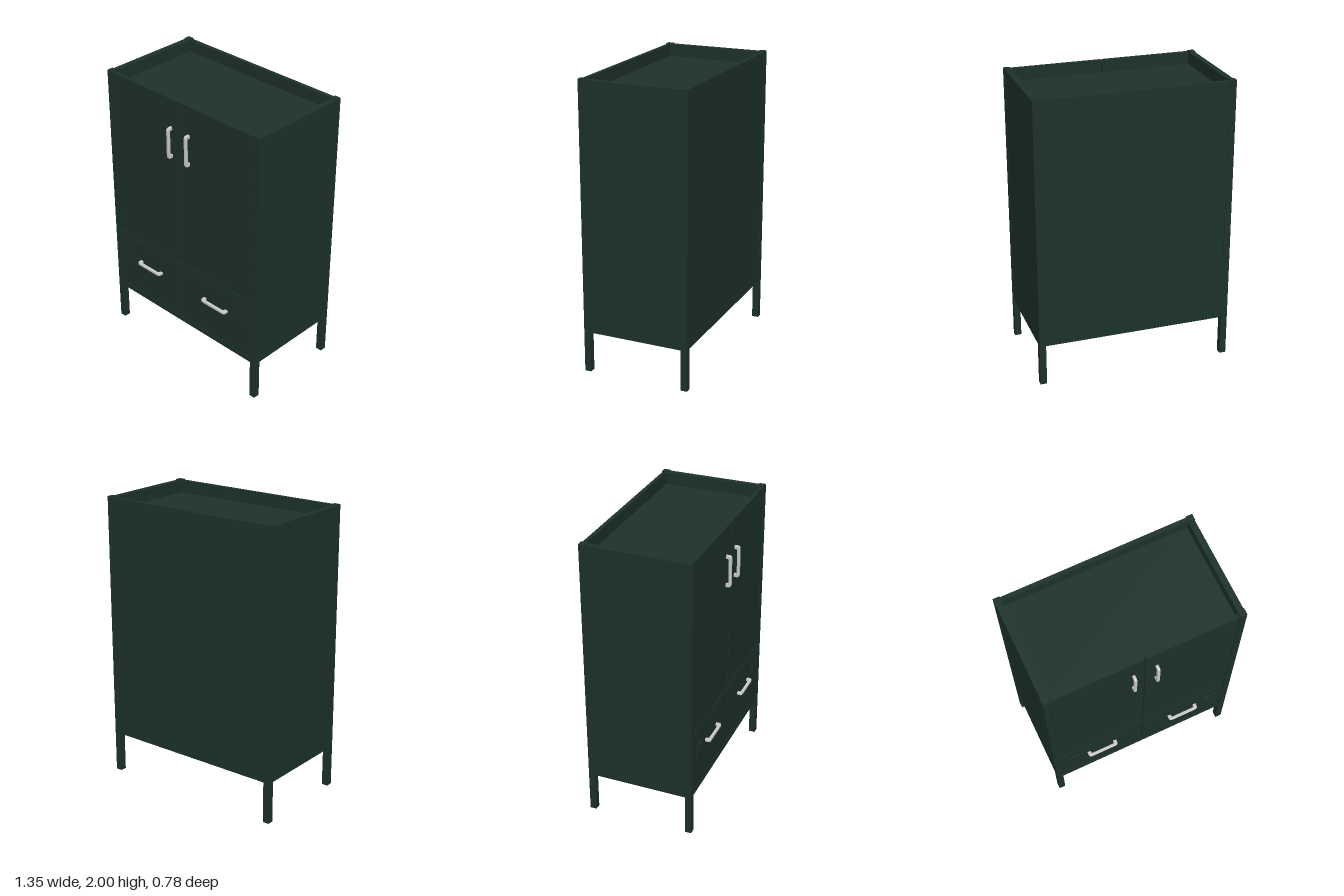
import * as THREE from 'three';

const paint = new THREE.MeshStandardMaterial({ color: 0x1d322b });
const metal = new THREE.MeshStandardMaterial({ color: 0xcccccc });

// Box given by its limits on each axis
function block(name, [x0, x1], [y0, y1], [z0, z1]) {
  const mesh = new THREE.Mesh(new THREE.BoxGeometry(x1 - x0, y1 - y0, z1 - z0), paint);
  mesh.name = name;
  mesh.position.set((x0 + x1) / 2, (y0 + y1) / 2, (z0 + z1) / 2);
  return mesh;
}

// U-shaped bar pull, lying along x and standing out along +z
function pull(name, length) {
  const h = length / 2, d = 0.04, r = 0.022, leg = 0.025, bar = 0.02, w = 0.02;
  const s = new THREE.Shape();
  s.moveTo(-h, 0);
  s.lineTo(-h, d - r);
  s.quadraticCurveTo(-h, d, -h + r, d);
  s.lineTo(h - r, d);
  s.quadraticCurveTo(h, d, h, d - r);
  s.lineTo(h, 0);
  s.lineTo(h - leg, 0);
  s.lineTo(h - leg, d - bar - 0.008);
  s.quadraticCurveTo(h - leg, d - bar, h - leg - 0.008, d - bar);
  s.lineTo(-h + leg + 0.008, d - bar);
  s.quadraticCurveTo(-h + leg, d - bar, -h + leg, d - bar - 0.008);
  s.lineTo(-h + leg, 0);
  s.closePath();
  const b = 0.004;
  const geo = new THREE.ExtrudeGeometry(s, {
    depth: w - 2 * b, curveSegments: 6,
    bevelEnabled: true, bevelSize: b, bevelOffset: -b, bevelThickness: b, bevelSegments: 2,
  });
  geo.translate(0, 0, -w / 2 + b).rotateX(Math.PI / 2);
  const mesh = new THREE.Mesh(geo, metal);
  mesh.name = name;
  return mesh;
}

export function createModel() {
  const cabinet = new THREE.Group();
  cabinet.name = 'cabinet';
  const outer = 0.675, inner = 0.63, front = 0.355, back = -0.393, post = 0.045;
  const base = 0.285, rim = 1.995, mid = -0.003, gap = 0.004;
  const face = [0.325, 0.352];

  // Carcass panels between the posts
  cabinet.add(
    block('backPanel', [-inner, inner], [base, rim], [-0.388, -0.36]),
    block('bottomPanel', [-inner, inner], [base, base + 0.03], [-0.36, 0.325]),
    block('topPanel', [-inner, inner], [1.88, 1.91], [-0.36, 0.325]),
    block('middleShelf', [-inner, inner], [0.75, 0.78], [-0.36, 0.325]),
    block('centreDivider', [mid - 0.015, mid + 0.015], [base + 0.03, 0.75], [-0.36, 0.32]),
    block('bottomRail', [-inner, inner], [base, 0.322], face),
    block('middleRail', [-inner, inner], [0.752, 0.777], face),
  );

  for (const side of [-1, 1]) {
    const label = side > 0 ? 'left' : 'right';
    const span = (a, b) => (side > 0 ? [a, b] : [-b, -a]);

    // Corner posts running down into the legs
    cabinet.add(
      block(label + 'FrontPost', span(inner, outer), [0, 2], [front - post, front]),
      block(label + 'BackPost', span(inner, outer), [0, 2], [back, back + post]),
      block(label + 'SidePanel', span(inner, 0.672), [base, rim], [back + post, front - post]),
    );

    // Door and drawer front
    const leaf = side > 0 ? [mid + gap, inner - gap] : [-inner + gap, mid - gap];
    cabinet.add(
      block(label + 'Door', leaf, [0.784, rim], face),
      block(label + 'DrawerFront', leaf, [0.328, 0.748], face),
      block(label + 'DrawerPlate', span(0.482, 0.575), [0.552, 0.642], [0.35, 0.359]),
    );

    // Pulls
    const doorPull = pull(label + 'DoorPull', 0.225);
    doorPull.rotation.z = Math.PI / 2;
    doorPull.position.set(mid + side * 0.079, 1.688, 0.35);
    const drawerPull = pull(label + 'DrawerPull', 0.222);
    drawerPull.position.set(mid + side * 0.313, 0.596, 0.35);
    cabinet.add(doorPull, drawerPull);
  }
  return cabinet;
}
